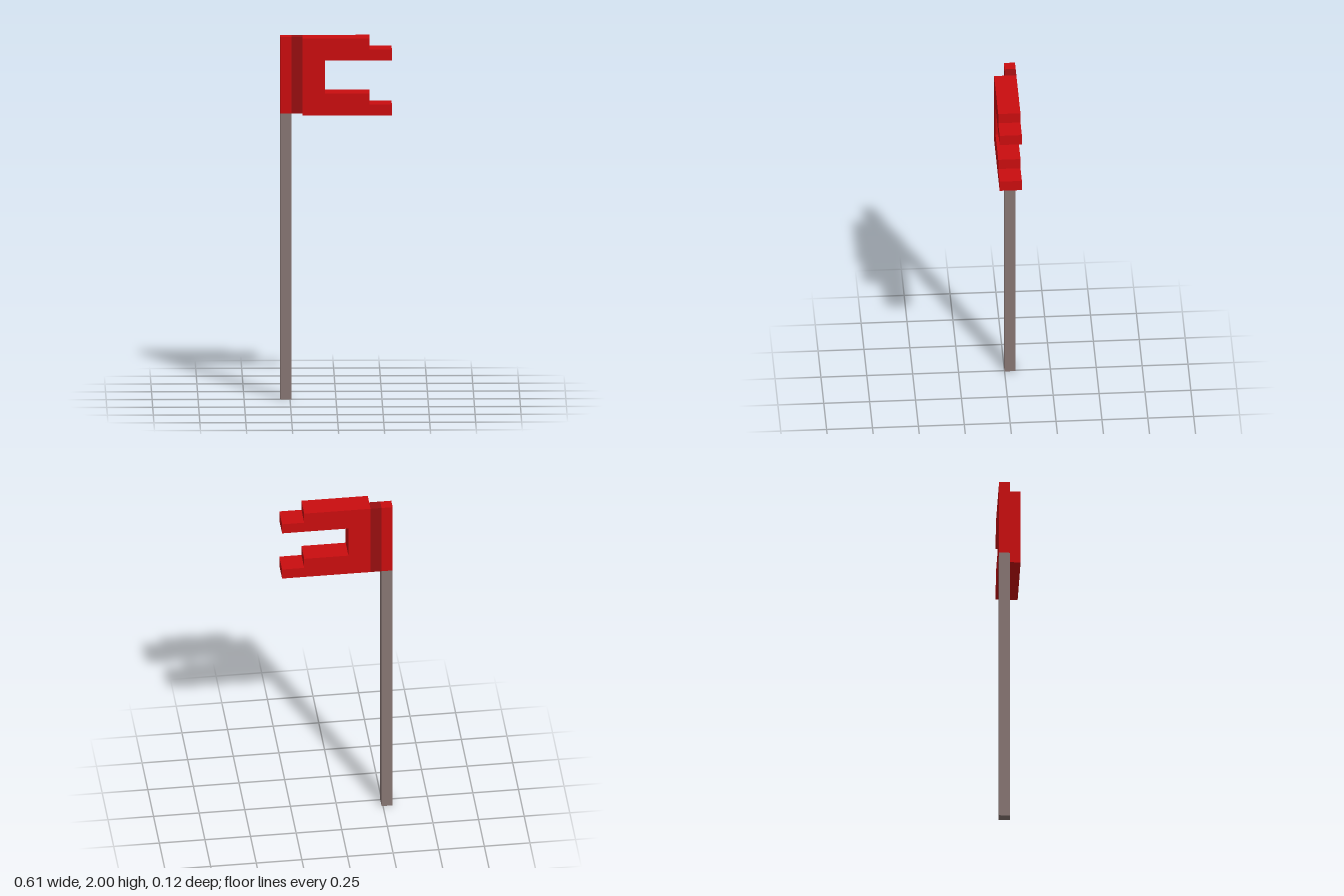
import * as THREE from 'three';

const U = 2 / 33; // one block unit

export function createModel() {
  const group = new THREE.Group();
  const mat = (name, color) => {
    const m = new THREE.MeshStandardMaterial({ color });
    m.name = name;
    return m;
  };
  const red = mat('red cloth', 0xca0d0f);
  const darkRed = mat('dark red cloth', 0x980e10);
  const wood = mat('grey brown pole', 0x877673);

  // One-unit-thick upright column in the rear half, x0 and y0 in block units
  const column = (name, x0, y0, height, material) => {
    const mesh = new THREE.Mesh(new THREE.BoxGeometry(U, height * U, U), material);
    mesh.position.set((x0 + 0.5) * U, (y0 + height / 2) * U, -U / 2);
    mesh.name = name;
    group.add(mesh);
  };

  column('pole', -5, 0, 26, wood);
  column('poleSleeve', -5, 26, 7, red);
  column('foldStrip', -4, 26, 7, darkRed);

  // Banner with two stepped tails, twice as deep as the pole
  const outline = [
    [-3, 26], [5, 26], [5, 27], [3, 27], [3, 28], [-1, 28],
    [-1, 31], [5, 31], [5, 32], [3, 32], [3, 33], [-3, 33],
  ].map(([x, y]) => new THREE.Vector2(x * U, y * U));
  const geometry = new THREE.ExtrudeGeometry(new THREE.Shape(outline), {
    depth: 2 * U,
    bevelEnabled: false,
  });
  geometry.translate(0, 0, -U);
  const banner = new THREE.Mesh(geometry, red);
  banner.name = 'banner';
  group.add(banner);

  return group;
}
